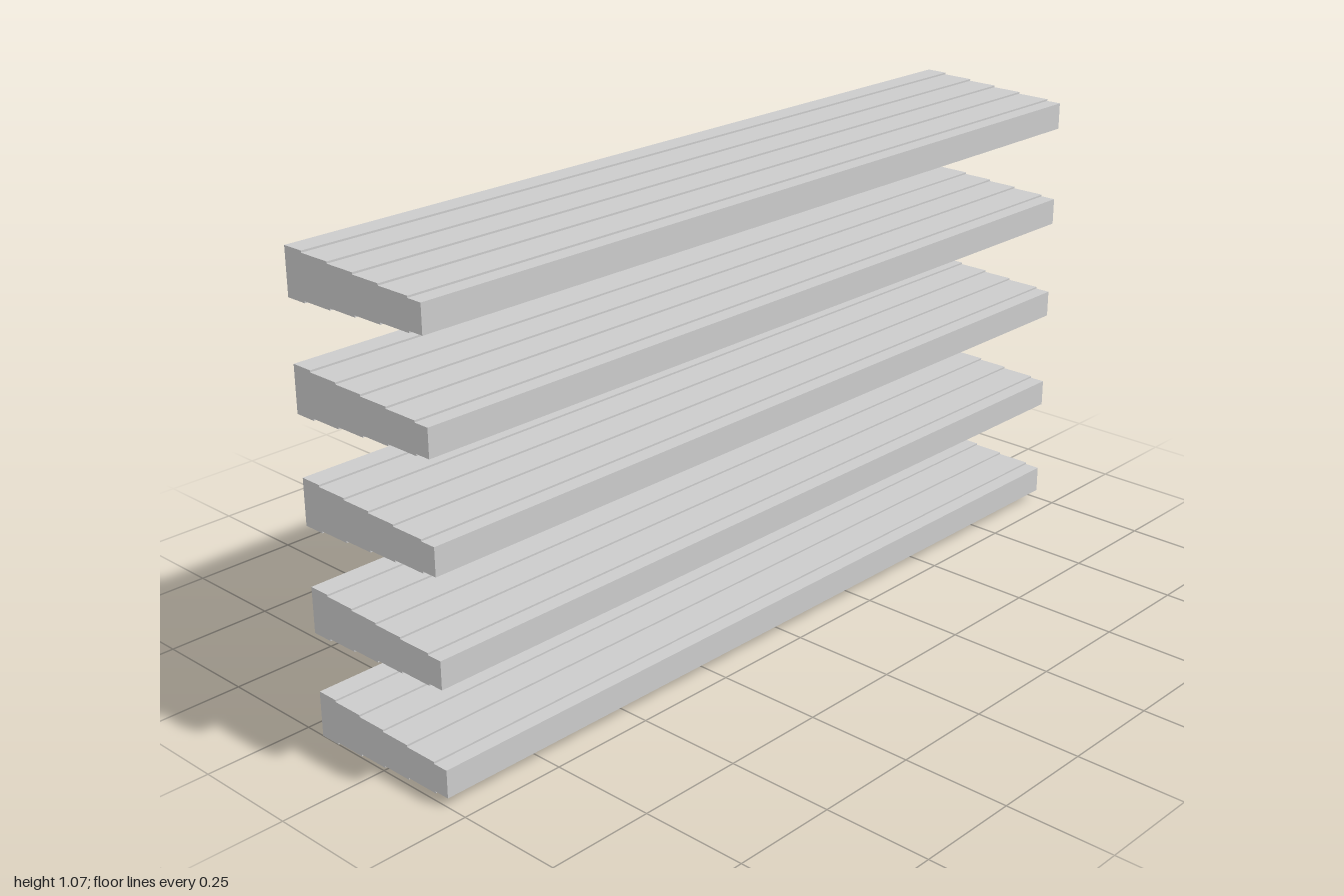
import * as THREE from 'three';

const LENGTH = 2, COUNT = 5, SPACING = 0.2415;
// Where each terrace starts and ends, front to back (z)
const EDGES = [0.2, 0.163, 0.08, 0.005, -0.07, -0.148, -0.2];
const FRONT_HALF = 0.0315, BACK_HALF = 0.0525;

// Stepped wedge section, thin at the front and thick at the back
function slatGeometry() {
  const top = [];
  const steps = EDGES.length - 1;
  for (let i = 0; i < steps; i++) {
    const h = THREE.MathUtils.lerp(FRONT_HALF, BACK_HALF, i / (steps - 1));
    top.push([-EDGES[i], h], [-EDGES[i + 1], h]);
  }
  const bottom = top.map(([s, h]) => [s, -h]);
  const outline = [...bottom, ...top.reverse()].map(([s, h]) => new THREE.Vector2(s, h));
  const geometry = new THREE.ExtrudeGeometry(new THREE.Shape(outline), { depth: LENGTH, bevelEnabled: false });
  geometry.translate(0, 0, -LENGTH / 2);
  geometry.rotateY(Math.PI / 2);
  return geometry;
}

export function createModel() {
  const model = new THREE.Group();
  model.name = 'slatStack';
  const material = new THREE.MeshStandardMaterial({ color: 0xcccccc, flatShading: true });
  const geometry = slatGeometry();
  // Evenly spaced identical slats
  for (let i = 0; i < COUNT; i++) {
    const slat = new THREE.Mesh(geometry, material);
    slat.name = `slat${i + 1}`;
    slat.position.y = BACK_HALF + i * SPACING;
    model.add(slat);
  }
  return model;
}
